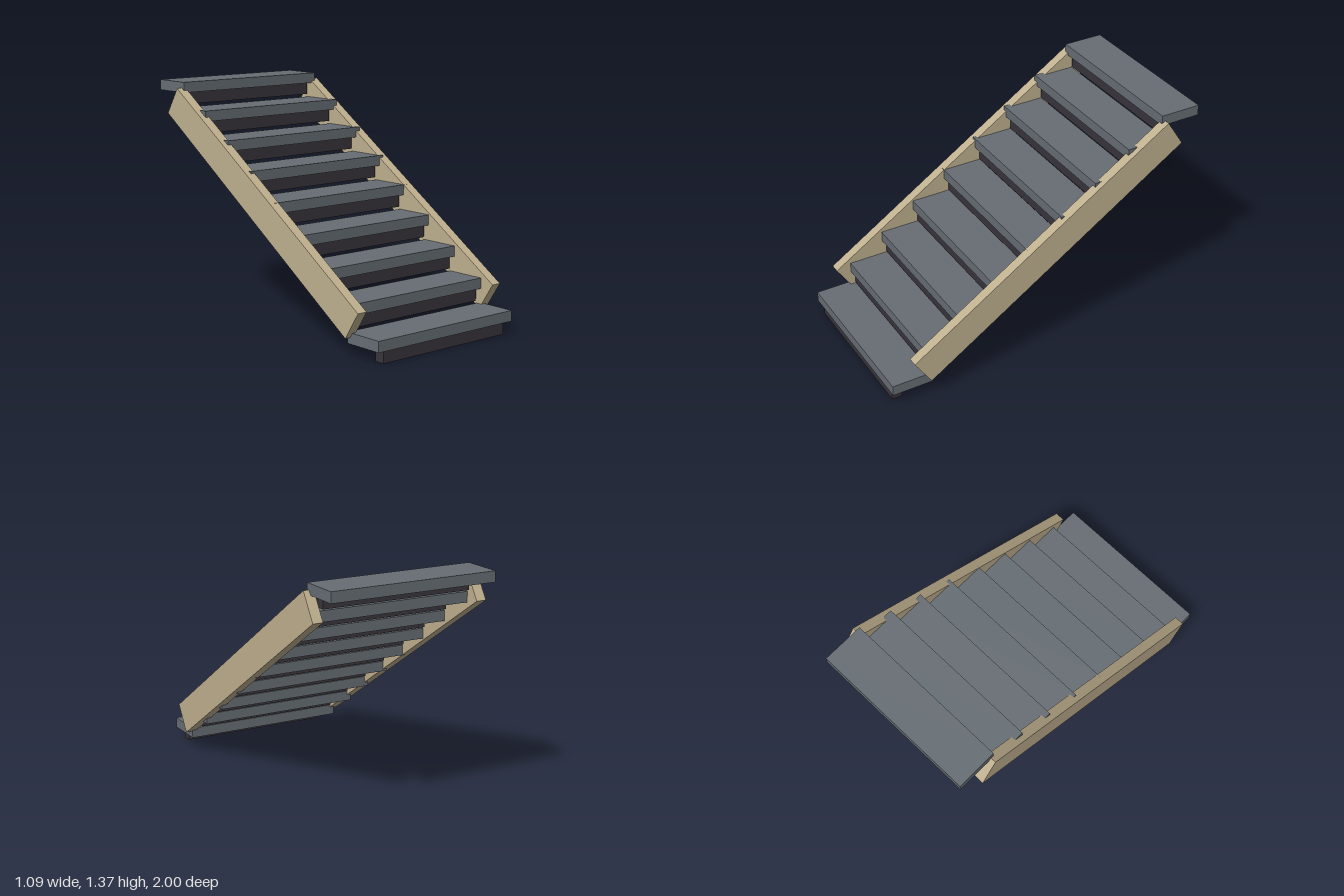
import * as THREE from 'three';

export function createModel() {
  const model = new THREE.Group();
  model.name = 'staircase';

  const material = (name, color) => {
    const m = new THREE.MeshStandardMaterial({ color });
    m.name = name;
    return m;
  };
  const slate = material('slateGrey', 0x666d73);
  const charcoal = material('charcoal', 0x38353c);
  const tan = material('tanWood', 0xbfb08f);

  const addBox = (name, size, position, mat) => {
    const mesh = new THREE.Mesh(new THREE.BoxGeometry(...size), mat);
    mesh.name = name;
    mesh.position.set(...position);
    model.add(mesh);
    return mesh;
  };

  // Treads, each with a narrower riser bar under its front edge
  const steps = 9, rise = 0.1544, run = 0.21875;
  for (let i = 0; i < steps; i++) {
    const y = i * rise, z = 0.875 - i * run;
    addBox(`tread${i + 1}`, [1.02, 0.063, 0.25], [0, y + 0.1035, z], slate);
    addBox(`riser${i + 1}`, [0.92, 0.072, 0.063], [0, y + 0.036, z + 0.077], charcoal);
  }

  // Sloping side beams
  for (const side of [-1, 1]) {
    const beam = addBox(side > 0 ? 'leftStringer' : 'rightStringer',
      [0.061, 0.187, 1.962], [side * 0.5135, 0.721, 0], tan);
    beam.rotation.x = Math.atan2(1.07, 1.645);
  }

  return model;
}
